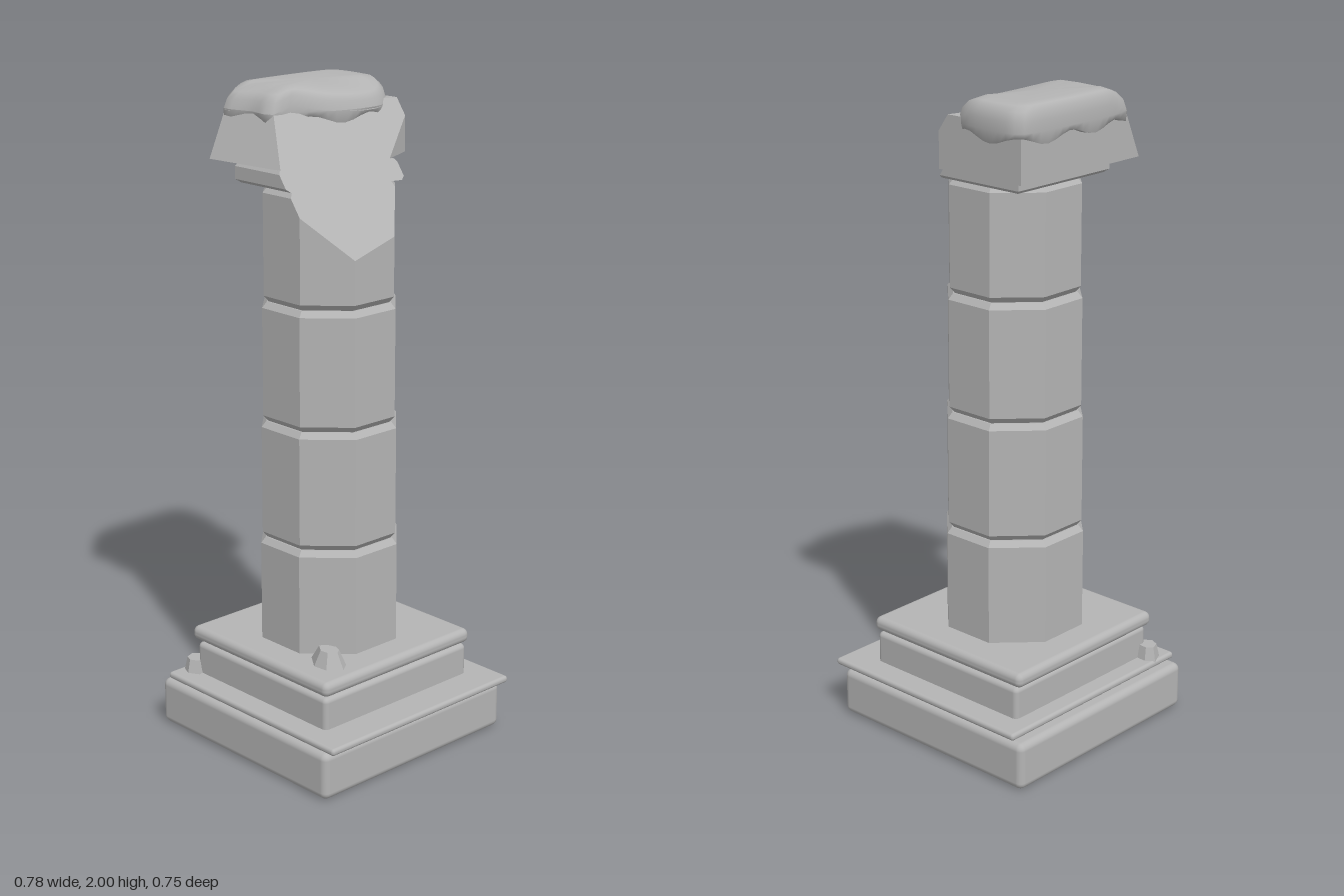
import * as THREE from 'three';
import { RoundedBoxGeometry } from 'three/addons/geometries/RoundedBoxGeometry.js';
import { ConvexGeometry } from 'three/addons/geometries/ConvexGeometry.js';

const V = (x, y, z) => new THREE.Vector3(x, y, z);

// Sloping break across the top: positive above the break
const aboveBreak = (p) => p.y - (1.565 - 1.4 * (p.x - 0.17) - 0.3 * p.z);

// Convex solid from stacked rings, cut off along the break
function brokenSolid(rings) {
  const points = [];
  const edge = (a, b) => {
    const da = aboveBreak(a), db = aboveBreak(b);
    if (da * db < 0) points.push(a.clone().lerp(b, da / (da - db)));
  };
  rings.forEach((ring, j) => ring.forEach((p, i) => {
    if (aboveBreak(p) <= 0) points.push(p);
    edge(p, ring[(i + 1) % ring.length]);
    if (j + 1 < rings.length) edge(p, rings[j + 1][i]);
  }));
  return new ConvexGeometry(points);
}

const ringAt = (outline, y) => outline.map(([x, z]) => V(x, y, z));

// Octagon with flats facing the axes
function octagon(apothem, y) {
  const r = apothem / Math.cos(Math.PI / 8);
  return Array.from({ length: 8 }, (_, i) => {
    const a = Math.PI / 8 + i * Math.PI / 4;
    return V(-0.017 + r * Math.cos(a), y, 0.002 + r * Math.sin(a));
  });
}

// Worn cap slab with soft edges and a wavy underside
function capGeometry() {
  const curve = new THREE.CatmullRomCurve3([
    [-0.03, -0.22], [-0.025, -0.14], [-0.05, -0.03], [-0.1, 0.06], [-0.12, 0.14],
    [-0.2, 0.14], [-0.31, 0.155], [-0.322, 0.13], [-0.325, -0.28], [-0.31, -0.307],
    [-0.14, -0.308], [-0.07, -0.28],
  ].map(([x, z]) => V(x, 0, z)), true, 'centripetal');
  const n = 48, outline = curve.getSpacedPoints(n).slice(0, n);
  const layers = [[0.92, 1.9], [0.99, 1.9], [1, 1.925], [1, 1.955], [0.96, 1.982], [0.88, 1.996], [0.7, 2]];
  const cx = -0.19, cz = -0.09, pos = [], index = [];
  layers.forEach(([s, y], j) => outline.forEach((p, i) => {
    const x = cx + (p.x - cx) * s, z = cz + (p.z - cz) * s;
    const wave = j < 2 ? 0.012 * Math.sin(i * 0.9) : 0;
    const droop = j > 2 ? 0.35 * Math.max(0, x + 0.13) + 0.4 * Math.max(0, z - 0.07) : 0;
    pos.push(x, y + wave - droop, z);
  }));
  const last = layers.length - 1, bottom = pos.length / 3, top = bottom + 1;
  pos.push(cx, 1.9, cz, cx, 2, cz);
  for (let i = 0; i < n; i++) {
    const k = (i + 1) % n;
    for (let j = 0; j < last; j++) {
      const a = j * n + i, b = j * n + k;
      index.push(a, a + n, b, b, a + n, b + n);
    }
    index.push(bottom, i, k, top, last * n + k, last * n + i);
  }
  const g = new THREE.BufferGeometry();
  g.setAttribute('position', new THREE.Float32BufferAttribute(pos, 3));
  g.setIndex(index);
  g.computeVertexNormals();
  return g;
}

export function createModel() {
  const group = new THREE.Group();
  const stone = new THREE.MeshStandardMaterial({ color: 0xb4b4b4 });
  stone.name = 'grey stone';
  const add = (name, geometry) => {
    const mesh = new THREE.Mesh(geometry, stone);
    mesh.name = name;
    group.add(mesh);
    return mesh;
  };

  // Stepped base: x0, x1, y0, y1, z0, z1, edge radius
  const steps = {
    lowerPlinth: [-0.39, 0.36, 0, 0.148, -0.375, 0.375, 0.022],
    lowerLedge: [-0.36, 0.39, 0.155, 0.177, -0.378, 0.372, 0.01],
    upperPlinth: [-0.303, 0.282, 0.13, 0.276, -0.3, 0.3, 0.016],
    upperLedge: [-0.322, 0.29, 0.281, 0.327, -0.307, 0.306, 0.02],
    baseCore: [-0.28, 0.26, 0.1, 0.3, -0.28, 0.28, 0.005],
  };
  for (const [name, [x0, x1, y0, y1, z0, z1, r]] of Object.entries(steps)) {
    add(name, new RoundedBoxGeometry(x1 - x0, y1 - y0, z1 - z0, 3, r))
      .position.set((x0 + x1) / 2, (y0 + y1) / 2, (z0 + z1) / 2);
  }

  // Octagonal shaft drums with bevelled joints; the top one is broken
  const joints = [0.32, 0.655, 1.022, 1.387, 1.728];
  for (let i = 0; i < 4; i++) {
    const a = 0.205 - i * 0.005, y0 = joints[i], y1 = joints[i + 1];
    const startInset = i ? 0.014 : 0;
    add('shaftDrum' + (i + 1), brokenSolid([
      octagon(a - startInset, y0), octagon(a, y0 + 0.018),
      octagon(a, y1 - 0.018), octagon(a - 0.014, y1),
    ]));
  }

  // Square neck moulding with softened top and bottom
  const square = (h, y) => ringAt([[-0.017 + h, h], [-0.017 - h, h], [-0.017 - h, -h], [-0.017 + h, -h]], y);
  add('neckMoulding', brokenSolid([
    square(0.183, 1.724), square(0.195, 1.734), square(0.195, 1.772), square(0.188, 1.782),
  ]));

  // Capital block with a leaning chipped front and a lost back corner
  const block = (front) => [[-0.308, 0.21 - front], [0.1, 0.175 - front], [0.1, -0.07], [0, -0.29], [-0.308, -0.29]];
  add('capitalBlock', brokenSolid([ringAt(block(0), 1.782), ringAt(block(0.07), 1.94)]));
  add('capSlab', capGeometry());

  // Loose rubble on the ledges
  const rubble = (name, outline, y, height, shrink) => {
    const cx = outline.reduce((s, p) => s + p[0], 0) / outline.length;
    const cz = outline.reduce((s, p) => s + p[1], 0) / outline.length;
    const inner = outline.map(([x, z]) => [cx + (x - cx) * shrink, cz + (z - cz) * shrink]);
    add(name, new ConvexGeometry([...ringAt(outline, y), ...ringAt(inner, y + height)]));
  };
  rubble('largeRubble', [[0.25, 0.195], [0.215, 0.235], [0.165, 0.24], [0.11, 0.2], [0.13, 0.165], [0.185, 0.145], [0.225, 0.16]], 0.322, 0.052, 0.55);
  rubble('smallRubble', [[-0.275, 0.315], [-0.31, 0.335], [-0.345, 0.32], [-0.36, 0.28], [-0.335, 0.258], [-0.29, 0.262]], 0.172, 0.046, 0.7);

  return group;
}
